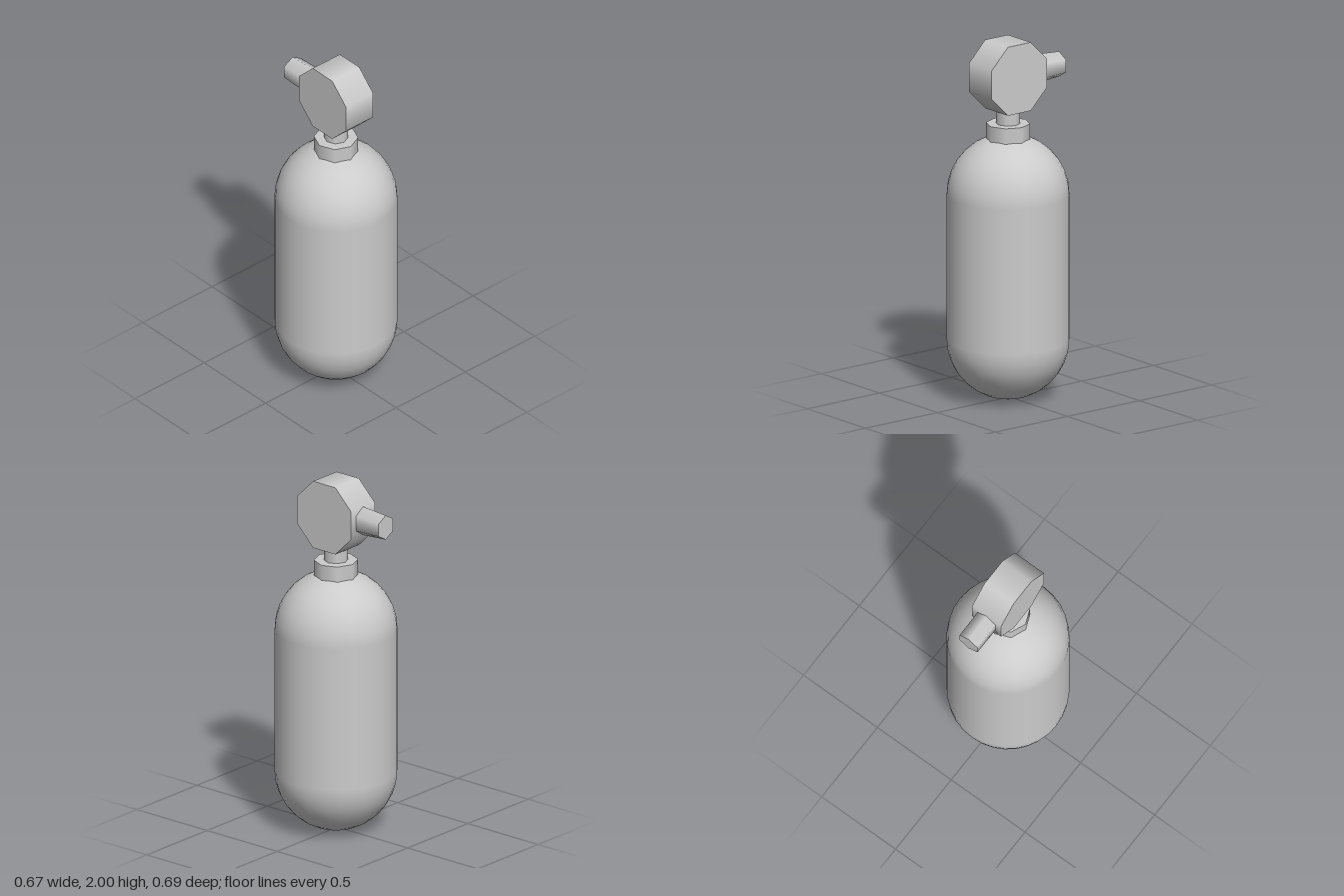
import * as THREE from 'three';

const AXIS_Z = 0.01;   // vertical axis of the tank
const HEAD_Y = 1.808;  // centre of the valve head

export function createModel() {
  const group = new THREE.Group();
  const material = new THREE.MeshStandardMaterial({ color: 0xcccccc });

  const add = (name, geometry, y, z = AXIS_Z) => {
    const mesh = new THREE.Mesh(geometry, material);
    mesh.name = name;
    mesh.position.set(0, y, z);
    group.add(mesh);
  };

  // Round-ended tank
  const radius = 0.333, height = 1.475;
  add('tank', new THREE.CapsuleGeometry(radius, height - 2 * radius, 8, 32), height / 2);

  // Octagonal collar, sunk into the dome, and the stem above it
  add('collar', new THREE.CylinderGeometry(0.12, 0.12, 0.14, 8), 1.47);
  add('stem', new THREE.CylinderGeometry(0.066, 0.066, 0.1, 8), 1.58);

  // Octagonal valve head lying across x, flats at top and bottom
  const head = new THREE.CylinderGeometry(0.208, 0.208, 0.196, 8);
  head.rotateY(Math.PI / 8).rotateZ(Math.PI / 2);
  add('valveHead', head, HEAD_Y);

  // Six-sided nozzle at the back, its height narrowing towards the tip
  const length = 0.162;
  const nozzle = new THREE.CylinderGeometry(0.07, 0.07, length, 6);
  nozzle.rotateX(-Math.PI / 2);
  const p = nozzle.attributes.position;
  for (let i = 0; i < p.count; i++) {
    p.setY(i, p.getY(i) * (p.getZ(i) > 0 ? 1.17 : 1));
  }
  nozzle.computeBoundingSphere();
  add('nozzle', nozzle, HEAD_Y + 0.002, -0.183 - length / 2);

  return group;
}
